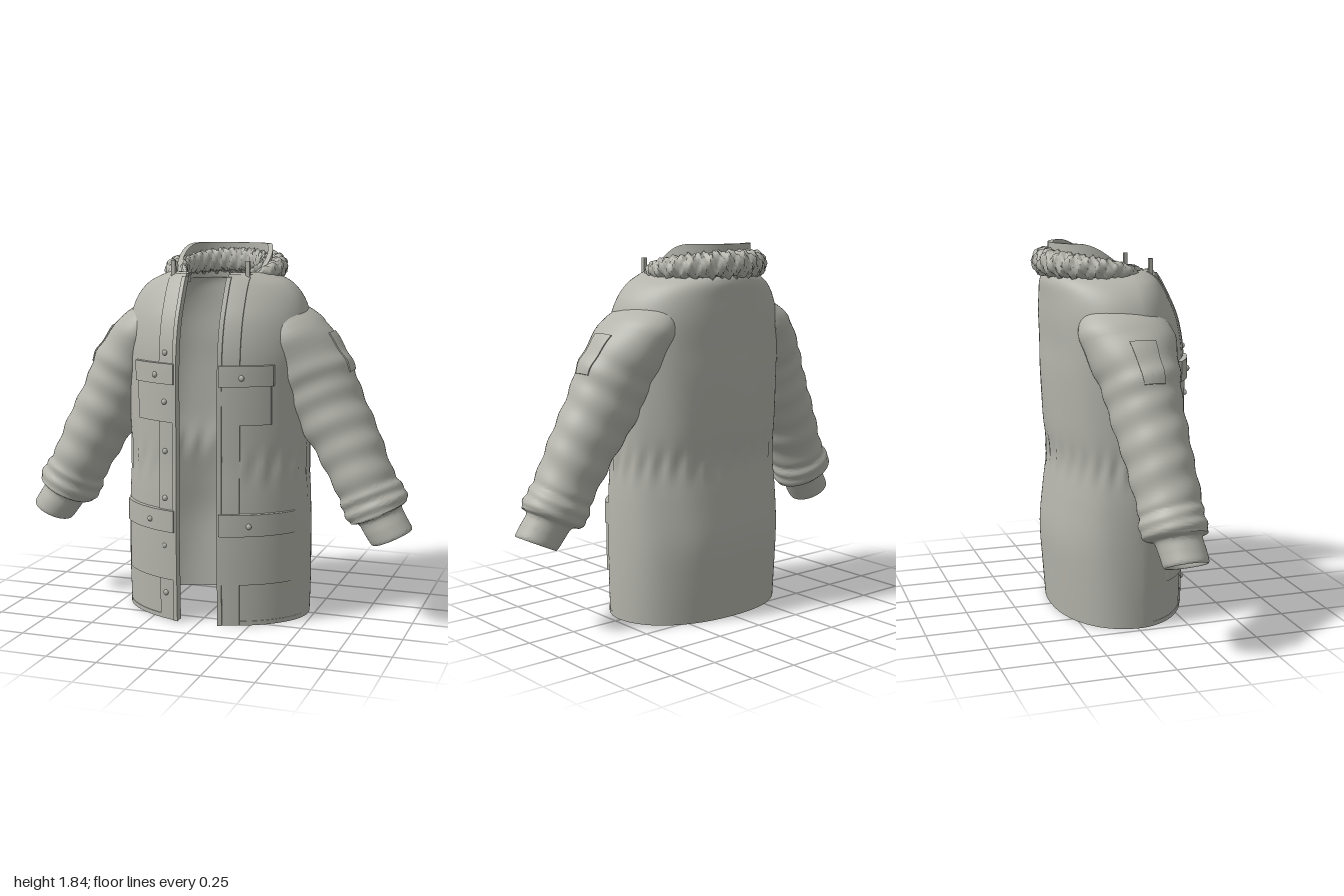
import * as THREE from 'three';
import { toCreasedNormals } from 'three/addons/utils/BufferGeometryUtils.js';

const cloth = new THREE.MeshStandardMaterial({ color: 0xb5b5ad, side: THREE.DoubleSide });
cloth.name = 'warm grey cloth';

// torso sections: height, half width, front z, back z
const TORSO = [
  [0, .47, .35, -.31], [.2, .475, .355, -.325], [.4, .475, .36, -.335], [.6, .47, .36, -.315],
  [.78, .46, .355, -.295], [.95, .465, .355, -.315], [1.2, .47, .355, -.33], [1.35, .475, .345, -.33],
  [1.48, .46, .315, -.335], [1.58, .425, .27, -.335], [1.65, .365, .235, -.335], [1.69, .29, .215, -.32],
  [1.71, .235, .2, -.29],
];
// sleeve sections: centre x, y, z, radius across, radius in z; the last two turn inside the cuff
const SLEEVE = [
  [.3, 1.5, -.04, .12, .2], [.37, 1.42, -.03, .155, .23], [.45, 1.28, -.01, .185, .205], [.5, 1.19, 0, .19, .185],
  [.545, 1.1, .005, .18, .175], [.6, 1, .015, .172, .168], [.66, .9, .025, .163, .158], [.71, .8, .035, .155, .155],
  [.76, .7, .045, .148, .15], [.785, .65, .045, .155, .15], [.81, .605, .045, .162, .155], [.83, .565, .055, .15, .145],
  [.838, .55, .06, .115, .112], [.87, .5, .07, .11, .108], [.9, .455, .075, .107, .105],
  [.899, .457, .075, .094, .093], [.84, .55, .06, .09, .09],
];
const ZC = .02, NF = 1.85, NB = 2.2, EDGE = .11;

// smooth interpolation along a table of sections
function sample(table, t) {
  const last = table.length - 1;
  const i = Math.min(Math.max(Math.floor(t), 0), last - 1), k = t - i;
  const p = (n) => table[Math.min(Math.max(n, 0), last)];
  return table[0].map((_, c) => {
    const a = p(i - 1)[c], b = p(i)[c], d = p(i + 1)[c], e = p(i + 2)[c];
    return b + .5 * k * (d - a + k * (2 * a - 5 * b + 4 * d - e + k * (3 * (b - d) + e - a)));
  });
}

function torsoT(y) {
  let i = 0;
  while (i < TORSO.length - 2 && y > TORSO[i + 1][0]) i++;
  return i + (y - TORSO[i][0]) / (TORSO[i + 1][0] - TORSO[i][0]);
}

const root = (q, n) => Math.pow(Math.max(0, 1 - Math.pow(Math.abs(q), n)), 1 / n);

// point on the front of the torso
function frontPoint(x, y, off) {
  const [h, a, f] = sample(TORSO, torsoT(y));
  return [x, h, ZC + (f - ZC) * root(x / a, NF) + off];
}

// half width of the torso at a height and depth
function sideX(y, z) {
  const [, a, f, b] = sample(TORSO, torsoT(Math.min(y, 1.71)));
  return z > ZC ? a * root((z - ZC) / (f - ZC), NF) : a * root((z - ZC) / (ZC - b), NB);
}

// surface from a rule f(i, j) on a grid
function grid(f, nu, nv, crease = .8) {
  const pos = [], idx = [];
  for (let j = 0; j <= nv; j++) for (let i = 0; i <= nu; i++) pos.push(...f(i, j));
  for (let j = 0; j < nv; j++) for (let i = 0; i < nu; i++) {
    const a = j * (nu + 1) + i, b = a + nu + 1;
    idx.push(a, a + 1, b + 1, a, b + 1, b);
  }
  const g = new THREE.BufferGeometry();
  g.setAttribute('position', new THREE.Float32BufferAttribute(pos, 3));
  g.setIndex(idx);
  return toCreasedNormals(g, crease);
}

// raised panel following a surface rule f(u, v, offset), with side walls
function slab(f, u0, u1, v0, v1, hi, lo = -.01, nu = 14, nv = 14) {
  const c = (i, n) => Math.min(Math.max(i - 1, 0), n) / n;
  return grid((i, j) => {
    const rim = i === 0 || j === 0 || i === nu + 2 || j === nv + 2;
    return f(u0 + (u1 - u0) * c(i, nu), v0 + (v1 - v0) * c(j, nv), rim ? lo : hi);
  }, nu + 2, nv + 2);
}

function add(parent, name, geo) {
  const m = new THREE.Mesh(geo, cloth);
  m.name = name;
  parent.add(m);
  return m;
}

// double-walled torso, open at the front, gathered at the waist
function torsoGeometry() {
  const N = 60, M = 110, T = TORSO.length - 1;
  return grid((i, j) => {
    const row = j <= N ? j : j <= 2 * N + 1 ? 2 * N + 1 - j : 0;
    const th = j > N && j <= 2 * N + 1 ? .02 : 0;
    let [y, a, f, b] = sample(TORSO, row / N * T);
    a -= th; f -= th; b += th;
    const t0 = Math.asin(Math.pow(EDGE / a, NF / 2));
    const ang = t0 + (2 * Math.PI - 2 * t0) * i / M;
    const s = Math.sin(ang), c = Math.cos(ang), n = c > 0 ? NF : NB;
    const fold = .008 * Math.exp(-(((y - .79) / .06) ** 2)) * Math.sin(ang * 27)
      + .004 * Math.sin(ang * 9 + y * 4) * Math.sin(Math.PI * Math.min(1, y / 1.6)) * (c < 0 ? 1 : .3);
    const k = 1 + fold * 2;
    return [
      Math.sign(s) * a * Math.pow(Math.abs(s), 2 / n) * (c > .8 ? 1 : k), y,
      ZC + Math.sign(c) * (c > 0 ? f - ZC : ZC - b) * Math.pow(Math.abs(c), 2 / n) * k,
    ];
  }, M, 2 * N + 2);
}

// point on the sleeve, kept outside the torso lining
function sleevePoint(ang, t, off) {
  const [cx, cy, cz, r, rz] = sample(SLEEVE, t);
  const crease = t < 11 && t > 1 ? .004 * Math.sin(t * 5 + 2 * Math.sin(ang)) : 0;
  const p = (r + off + crease) * Math.cos(ang), z = cz + (rz + off + crease) * Math.sin(ang);
  const y = cy + .43 * p;
  return [Math.max(cx + .9 * p, sideX(y, z) - .01), y, z];
}

// collar path: angle measured from the back of the neck
const neck = (a, rx, rz) => [rx * Math.sin(a), -.07 - rz * Math.cos(a)];

// lumpy fur roll along the neck
function furGeometry(rx, rz, reach, yBack, yFront, thick, tall) {
  const nu = 24, nv = 150;
  return grid((i, j) => {
    const a = reach * (2 * j / nv - 1), q = i % nu / nu * Math.PI * 2;
    const w = Math.abs(a) / reach, end = Math.sqrt(Math.max(0, 1 - w ** 14)) * (1 - .5 * w * w);
    const lump = 1 + .09 * Math.sin(23 * a + 3 * q) + .08 * Math.sin(41 * a - 4 * q + 1) + .07 * Math.sin(67 * a + 5 * q);
    const d = thick * lump * Math.cos(q) * end;
    const [x, z] = neck(a, rx + d, rz + d);
    return [x, yBack + (yFront - yBack) * w * w + tall * lump * Math.sin(q) * end, z];
  }, nu, nv, 1.2);
}

export function createModel() {
  const coat = new THREE.Group();
  coat.name = 'coat';
  add(coat, 'body', torsoGeometry());

  // standing collar, high at the back and falling to the front
  add(coat, 'collar', slab((a, v, off) => {
    const [x, z] = neck(a, .225 + off, .215 + off);
    const top = 1.84 - .15 * THREE.MathUtils.smoothstep(z, -.2, .1);
    return [x, 1.66 + (top - 1.66) * v, z];
  }, -2.55, 2.55, 0, 1, .015, -.01, 60, 6));
  add(coat, 'outerFur', furGeometry(.265, .25, 2.2, 1.745, 1.695, .055, .062));
  add(coat, 'innerFur', furGeometry(.205, .2, 2.4, 1.755, 1.68, .026, .055));

  const button = (parent, x, y, off) => {
    const m = add(parent, 'button', new THREE.SphereGeometry(.014, 14, 10));
    m.position.set(...frontPoint(x, y, off));
    m.scale.z = .6;
  };

  for (const side of [1, -1]) {
    const half = new THREE.Group();
    half.name = side > 0 ? 'leftSide' : 'rightSide';
    half.scale.x = side;
    coat.add(half);

    // sleeve with cuff
    add(half, 'sleeve', grid((i, j) => sleevePoint(i % 48 / 48 * Math.PI * 2, j / 96 * (SLEEVE.length - 1), 0), 48, 96));
    add(half, 'sleevePatch', slab(sleevePoint, -.28, .28, 1.5, 3.3, .006));

    // front edge, zip strip and zip end
    add(half, 'placket', slab(frontPoint, EDGE - .003, .205, .005, 1.7, .008, -.03, 6, 60));
    add(half, 'zipStrip', slab(frontPoint, EDGE - .006, .125, .005, 1.69, .016, -.034, 2, 60));
    add(half, 'zipEnd', new THREE.BoxGeometry(.02, .1, .018)).position.set(.19, 1.715, .15);
    add(half, 'hem', slab(frontPoint, .12, .46, .003, .035, .004, -.015, 30, 2));

    // chest and hip pockets with flaps
    add(half, 'chestPocket', slab(frontPoint, .12, .34, 1, 1.2, .014));
    add(half, 'chestFlap', slab(frontPoint, .115, .352, 1.18, 1.275, .028));
    add(half, 'hipPocket', slab(frontPoint, .12, .422, .21, .48, .014));
    add(half, 'hipFlap', slab(frontPoint, .115, .434, .455, .562, .028));
    button(half, .22, 1.22, .03);
    button(half, .255, .505, .03);

    // row of buttons on one edge only
    if (side < 0) for (let k = 0; k < 6; k++) button(half, .17, .145 + k * .237, k === 4 ? .018 : .01);
  }
  return coat;
}
